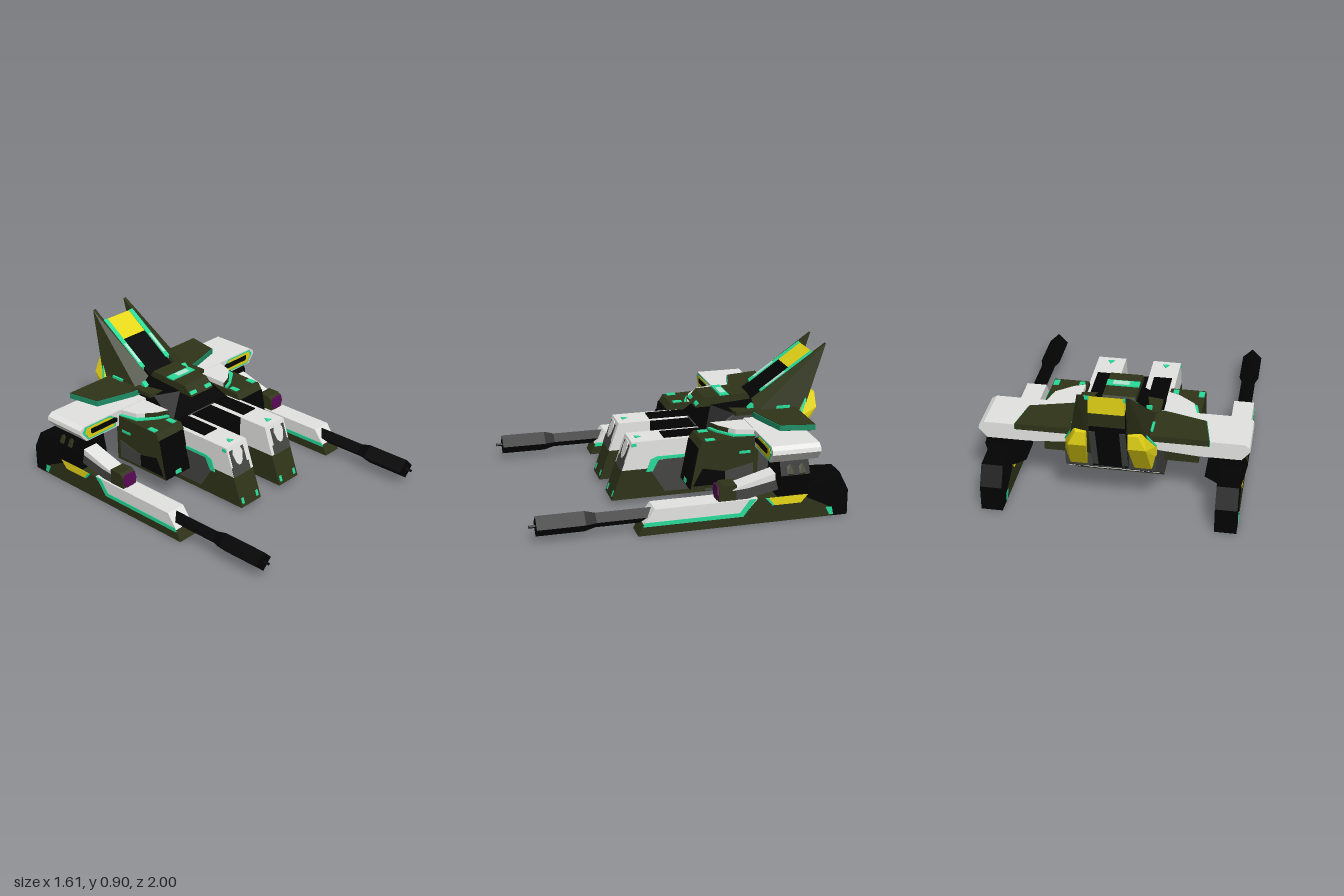
import * as THREE from 'three';
import { ConvexGeometry } from 'three/addons/geometries/ConvexGeometry.js';

function paint(name, color) {
  const m = new THREE.MeshStandardMaterial({ color });
  m.name = name;
  return m;
}

export function createModel() {
  const olive = paint('olive', 0x2f3419), white = paint('white', 0xe4e4e2), black = paint('black', 0x030303);
  const gray = paint('dark gray', 0x444642), teal = paint('teal', 0x28dc9a), darkTeal = paint('dark teal', 0x1f8f66);
  const yellow = paint('yellow', 0xecdc18), purple = paint('purple', 0x5e0b5a), mint = paint('pale mint', 0xb4e6d4);
  const root = new THREE.Group();
  root.name = 'gunship';
  let parent = root;

  function group(name, s) {
    parent = new THREE.Group();
    parent.name = (s > 0 ? 'left' : 'right') + name;
    root.add(parent);
  }
  function add(name, geo, mat) {
    const mesh = new THREE.Mesh(geo, mat);
    mesh.name = name;
    parent.add(mesh);
    return mesh;
  }
  const extrude = (pts, depth) => new THREE.ExtrudeGeometry(
    new THREE.Shape(pts.map(p => new THREE.Vector2(p[0], p[1]))), { depth, bevelEnabled: false });

  // side profile of [z, y] points, spanning x0..x1 (s = -1 mirrors it)
  function prism(name, mat, pts, x0, x1, s = 1) {
    const g = extrude(pts.map(([z, y]) => [-z, y]), x1 - x0).rotateY(Math.PI / 2);
    return add(name, g.translate(s > 0 ? x0 : -x1, 0, 0), mat);
  }
  // front outline of [x, y] points, spanning z0..z1
  function slab(name, mat, pts, z0, z1, s = 1) {
    return add(name, extrude(pts.map(([x, y]) => [x * s, y]), z1 - z0).translate(0, 0, z0), mat);
  }
  // plan outline of [x, z] points, spanning y0..y1
  function plan(name, mat, pts, y0, y1, s = 1) {
    const g = extrude(pts.map(([x, z]) => [x * s, -z]), y1 - y0).rotateX(-Math.PI / 2);
    return add(name, g.translate(0, y0, 0), mat);
  }
  // faceted solid around [x, y, z] corners
  function hull(name, mat, pts, s = 1) {
    return add(name, new ConvexGeometry(pts.map(([x, y, z]) => new THREE.Vector3(x * s, y, z))), mat);
  }
  const rect = (a0, a1, b0, b1) => [[a0, b0], [a1, b0], [a1, b1], [a0, b1]];
  // the same points on both sides of the centre plane
  const both = pts => pts.flatMap(([x, y, z]) => [[x, y, z], [-x, y, z]]);

  // central body
  prism('lowerBody', gray, [[-.17, .034], [-.17, .4], [-.8, .4], [-.78, .28], [-.45, .034]], -.27, .27);
  prism('bellyPlate', olive, rect(-.45, -.17, .03, .034), -.27, .27);
  prism('noseBelly', olive, rect(-.17, .08, .03, .036), -.09, .09);
  prism('centerNose', black, rect(-.18, .085, .036, .4), -.09, .09);
  hull('torso', black, both([[.25, .4, -.18], [.25, .4, -.8], [.24, .45, -.3], [.22, .51, -.38], [.24, .5, -.78],
    [.1, .46, -.22], [.1, .54, -.26], [.1, .58, -.8]]));
  // patches and vents lying on the sloped stern, d is the distance up the slope
  const sternPlate = (name, mat, x, d, w, h) => {
    const m = add(name, new THREE.BoxGeometry(w, .006, h), mat);
    m.position.set(x, .034 + d * .598, -.45 - d * .802);
    m.rotation.x = Math.PI - Math.atan2(.246, -.33);
  };
  for (const [x, w, d] of [[.2, .14, .27], [.1, .11, .23], [0, .14, .28], [-.1, .11, .23], [-.2, .14, .27]])
    sternPlate('sternPatch', white, x, d, w, .045);
  for (const x of [-.2, .2]) sternPlate('sternVent', black, x, .355, .07, .06);
  for (const x of [-.07, .07]) sternPlate('sternPort', black, x, .15, .03, .03);

  // cockpit
  prism('cockpit', olive, [[-.16, .53], [-.22, .59], [-.5, .6], [-.54, .53]], -.1, .1);
  prism('cockpitBand', teal, rect(-.38, -.32, .592, .602), -.1, .1);
  prism('cockpitBandCenter', mint, rect(-.37, -.33, .6, .605), -.04, .06);

  // spine between the fins
  prism('spine', black, [[-.5, .55], [-.78, .745], [-.88, .75], [-.915, .735], [-.9, .6], [-.8, .3], [-.5, .3]], -.105, .105);
  prism('spineCap', yellow, [[-.775, .742], [-.92, .845], [-.915, .73], [-.8, .72]], -.105, .105);
  prism('spineRearBrow', olive, [[-.91, .73], [-.919, .73], [-.908, .64], [-.9, .64]], -.105, .105);

  for (const s of [1, -1]) {
    // tail fin with bright inner rail
    group('Tail', s);
    hull('fin', olive, [[.125, .57, -.52], [.235, .5, -.51], [.125, .9, -1], [.148, .9, -1], [.145, .81, -.97],
      [.105, .4, -.83], [.25, .42, -.8]], s);
    prism('finRail', teal, [[-.58, .59], [-.58, .614], [-.92, .848], [-.92, .82]], .097, .13, s);
    prism('finRailGlow', mint, [[-.61, .63], [-.61, .638], [-.74, .728], [-.74, .71]], .103, .122, s);
    prism('spineRearFrame', gray, [[-.895, .6], [-.904, .6], [-.809, .315], [-.8, .315]], .07, .105, s);
    hull('thruster', yellow, [[.12, .6, -.86], [.2, .6, -.86], [.12, .6, -.92], [.18, .6, -.92],
      [.12, .51, -.92], [.225, .51, -.92], [.27, .46, -.78], [.14, .46, -.78], [.27, .38, -.78],
      [.24, .3, -.79], [.14, .3, -.79]], s);
    hull('thrusterTrim', teal, [0, .005].flatMap(d => [[.2 + d, .6, -.86], [.268 + d, .465, -.783],
      [.195 + d, .6, -.877], [.262 + d, .472, -.805]]), s);
    prism('finBaseLight', teal, rect(-.74, -.65, .52, .54), .2, .24, s);
    plan('shoulder', olive, [[.14, -.36], [.25, -.38], [.25, -.53], [.14, -.53]], .505, .53, s);
    prism('shoulderLight', teal, [[-.47, .528], [-.5, .556], [-.51, .556], [-.51, .528]], .165, .2, s);
    prism('cockpitLamp', teal, [[-.165, .54], [-.178, .556], [-.186, .556], [-.173, .54]], .04, .095, s);

    // front leg
    group('Leg', s);
    prism('legUpper', white, [[.29, .4], [.353, .22], [-.18, .22], [-.18, .4]], .09, .27, s);
    prism('legLower', gray, [[.18, .22], [.08, .06], [-.18, .06], [-.18, .22]], .09, .27, s);
    prism('foot', olive, [[.353, .22], [.42, .03], [-.18, .03], [-.18, .06], [.08, .06], [.18, .22]], .09, .27, s);
    prism('legFrontGray', gray, [[.302, .375], [.338, .272], [.332, .272], [.296, .375]], .13, .255, s);
    prism('legFrontGrayBase', gray, [[.337, .275], [.357, .218], [.35, .218], [.33, .275]], .115, .268, s);
    hull('legFrontBlaze', white, [[.165, .39], [.22, .39], [.235, .35], [.222, .3], [.205, .28], [.185, .28], [.165, .3], [.15, .35]]
      .flatMap(([x, y]) => [.002, .008].map(d => [x, y, .43 - y * .35 + d])), s);
    for (const x of [.105, .235])
      prism('footLight', teal, [[.404, .085], [.416, .05], [.41, .05], [.398, .085]], x, x + .02, s);
    prism('legTopStrip', black, rect(-.18, .08, .4, .406), .125, .24, s);
    prism('legSideGray', gray, [[.13, .27], [.18, .22], [-.06, .22], [-.06, .28]], .268, .273, s);
    prism('legSideTrim', teal, [[.2, .2], [.17, .28], [.13, .295], [-.05, .295], [-.05, .275], [.12, .275], [.16, .2]], .269, .275, s);
    prism('legSideSpot', teal, rect(.26, .29, .37, .39), .269, .274, s);
    plan('legTopMark', teal, [[.18, .21], [.203, .25], [.157, .25]], .4, .404, s);

    // side intake block
    group('Intake', s);
    prism('intakeBody', olive, [[-.025, .14], [-.075, .4], [-.1, .44], [-.45, .45], [-.45, .14]], .26, .48, s);
    prism('intakeFront', black, [[-.018, .142], [-.068, .4], [-.078, .4], [-.028, .142]], .27, .478, s);
    prism('intakeFrontLight', teal, [[-.016, .15], [-.021, .175], [-.03, .175], [-.026, .15]], .345, .395, s);
    prism('intakeSideGray', gray, [[-.24, .16], [-.24, .24], [-.42, .28], [-.42, .16]], .478, .484, s);
    prism('intakeSideBlack', black, [[-.04, .16], [-.1, .27], [-.24, .24], [-.24, .16]], .478, .483, s);
    prism('intakeSideLight', teal, rect(-.4, -.33, .345, .362), .478, .484, s);
    // raised white root plate, teal rimmed
    plan('rootPlateTrim', teal, [[.27, -.19], [.34, -.22], [.45, -.3], [.479, -.44], [.27, -.44]], .44, .455, s);
    plan('rootPlate', white, [[.26, -.21], [.33, -.24], [.43, -.32], [.462, -.44], [.26, -.44]], .45, .483, s);
    plan('rootPlateLip', olive, [[.26, -.206], [.332, -.236], [.39, -.282], [.388, -.29], [.33, -.244], [.26, -.214]], .448, .482, s);
    for (const x of [.28, .44]) plan('intakeTopLight', teal, rect(x, x + .035, -.18, -.12), .44, .447, s);

    // white shoulder plate and olive wing
    group('Wing', s);
    slab('armPlate', white, [[.24, .4], [.5, .38], [.755, .38], [.805, .44], [.8, .465], [.77, .485], [.24, .485]], -.73, -.43, s);
    slab('plateTrim', teal, [[.51, .39], [.74, .385], [.785, .445], [.76, .478], [.55, .478], [.51, .45]], -.432, -.428, s);
    slab('platePanel', yellow, [[.525, .4], [.735, .395], [.765, .44], [.75, .47], [.56, .47], [.525, .45]], -.43, -.425, s);
    slab('plateVent', black, [[.5, .42], [.71, .42], [.72, .43], [.72, .455], [.52, .455], [.5, .445]], -.428, -.422, s);
    plan('wing', olive, [[.2, -.5], [.28, -.5], [.53, -.57], [.57, -.78], [.2, -.78]], .486, .525, s);
    plan('wingEdge', darkTeal, [[.235, -.49], [.28, -.494], [.534, -.566], [.574, -.78], [.566, -.78], [.525, -.575], [.235, -.51]],
      .488, .522, s);

    // gun arm
    group('GunArm', s);
    const a0 = .63, a1 = .76;
    prism('armKeel', olive, [[.37, 0], [.337, .07], [-.8, .07], [-.84, 0]], a0, a1, s);
    prism('armTop', white, [[.337, .07], [.27, .16], [-.36, .16], [-.28, .07]], a0, a1, s);
    prism('armMiddle', olive, [[-.28, .07], [-.36, .16], [-.62, .16], [-.8, .07]], a0, a1, s);
    prism('armElbow', black, [[-.48, .16], [-.52, .3], [-.87, .28], [-.93, .16], [-.93, 0], [-.84, 0], [-.8, .07], [-.62, .16]], a0, a1, s);
    for (const x of [a0 - .003, a1 - .003]) {
      prism('armStripe', teal, [[.33, .08], [.342, .055], [-.27, .055], [-.35, .16], [-.31, .16], [-.25, .08]], x, x + .006, s);
      prism('armBadgeTrim', teal, [[-.405, .158], [-.45, .108], [-.5, .108], [-.5, .158]], x + .0005, x + .0055, s);
      prism('armBadge', yellow, [[-.425, .158], [-.465, .108], [-.63, .108], [-.675, .158]], x, x + .006, s);
      prism('armTailLight', teal, [[-.79, .06], [-.83, .06], [-.84, .01], [-.815, .01]], x, x + .006, s);
    }
    slab('armJoint', black, [[.58, .41], [.74, .41], [.79, .3], [.76, .16], [.63, .15], [.54, .2], [.56, .33]], -.67, -.49, s);
    for (const z of [-.55, -.625])
      hull('jointPort', olive, [[.792, .31, z - .02], [.792, .31, z + .02], [.788, .298, z], [.772, .35, z - .02],
        [.772, .35, z + .02], [.768, .364, z], [.76, .33, z]], s);
    prism('armRamp', gray, [[-.22, .23], [-.47, .28], [-.49, .2], [-.3, .16], [-.22, .16]], .645, .745, s);
    prism('armRampTop', white, [[-.2, .22], [-.22, .235], [-.47, .305], [-.47, .262], [-.3, .228]], .642, .748, s);
    prism('sensorHousing', olive, [[-.12, .16], [-.125, .235], [-.15, .255], [-.23, .255], [-.23, .16]], .642, .748, s);
    slab('sensorLens', purple, [[.665, .162], [.725, .162], [.748, .2], [.735, .25], [.655, .25], [.642, .2]], -.122, -.114, s);

    // four-sided gun barrel
    for (const [name, z0, z1, r0, r1] of [['barrel', .25, .61, .046, .046], ['barrelCone', .61, .675, .046, .064],
      ['muzzle', .675, .96, .064, .064], ['muzzlePin', .96, 1, .01, .01]]) {
      const g = new THREE.CylinderGeometry(r1, r0, z1 - z0, 4).toNonIndexed().rotateX(Math.PI / 2);
      g.computeVertexNormals();
      add(name, g.translate(s * .695, .105, (z0 + z1) / 2), black);
    }
  }
  return root;
}
